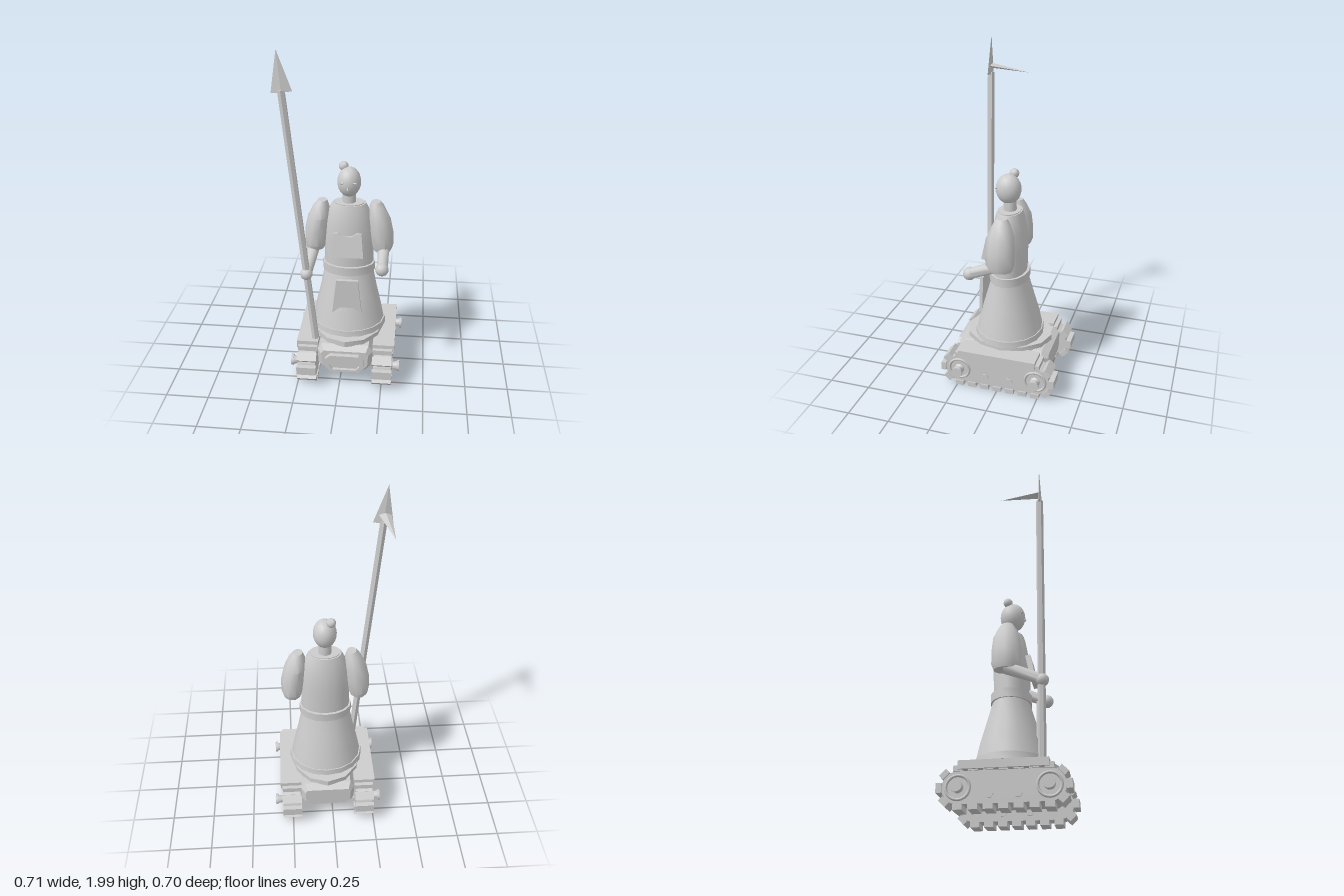
import * as THREE from 'three';
import { toCreasedNormals } from 'three/addons/utils/BufferGeometryUtils.js';

const CX = 0.03; // centre line of body and chassis

export function createModel() {
  const model = new THREE.Group();
  const grey = new THREE.MeshStandardMaterial({ color: 0xcccccc });
  grey.name = 'light grey';

  function add(name, geometry, x = 0, y = 0, z = 0, parent = model, crease = 0.6) {
    const mesh = new THREE.Mesh(toCreasedNormals(geometry, crease), grey);
    mesh.name = name;
    mesh.position.set(x, y, z);
    parent.add(mesh);
    return mesh;
  }

  // Closed solid from horizontal ellipses [x, y, z, rx, rz], listed bottom to top
  function loft(rings, n = 16) {
    const pos = [], idx = [];
    rings.forEach(([x, y, z, rx, rz]) => {
      for (let i = 0; i < n; i++) {
        const a = (i / n) * Math.PI * 2;
        pos.push(x + rx * Math.cos(a), y, z + rz * Math.sin(a));
      }
    });
    const last = rings.length - 1;
    const low = pos.length / 3, high = low + 1;
    pos.push(...rings[0].slice(0, 3), ...rings[last].slice(0, 3));
    for (let i = 0; i < n; i++) {
      const j = (i + 1) % n;
      for (let k = 0; k < last; k++) {
        const a = k * n + i, b = k * n + j;
        idx.push(a, b + n, b, a, a + n, b + n);
      }
      idx.push(low, i, j, high, last * n + j, last * n + i);
    }
    const g = new THREE.BufferGeometry();
    g.setAttribute('position', new THREE.Float32BufferAttribute(pos, 3));
    g.setIndex(idx);
    g.computeVertexNormals();
    return g;
  }

  // Flat plate from an outline in x and y
  const outline = (pts) => new THREE.Shape(pts.map(([x, y]) => new THREE.Vector2(x, y)));
  const plate = (shape, depth) => new THREE.ExtrudeGeometry(shape, { depth, bevelEnabled: false });

  // Round bar between two points
  function bar(name, from, to, r0, r1, sides) {
    const a = new THREE.Vector3(...from), b = new THREE.Vector3(...to);
    const dir = b.clone().sub(a);
    const mid = a.clone().add(b).multiplyScalar(0.5);
    const mesh = add(name, new THREE.CylinderGeometry(r1, r0, dir.length(), sides), mid.x, mid.y, mid.z,
      model, sides < 8 ? 0.1 : 0.9);
    mesh.quaternion.setFromUnitVectors(new THREE.Vector3(0, 1, 0), dir.normalize());
    return mesh;
  }

  // Hull with chamfered ends
  const hull = outline([[-0.12, 0.09], [0.12, 0.09], [0.16, 0.13], [0.165, 0.22],
    [0.14, 0.26], [-0.14, 0.26], [-0.165, 0.22], [-0.16, 0.13]]);
  add('hull', new THREE.ExtrudeGeometry(hull, { depth: 0.48, bevelThickness: 0.04, bevelSize: 0.025,
    bevelOffset: -0.025, bevelSegments: 1 }), CX, 0, -0.24, model, 0.3);

  // Framed plate on the nose
  const frame = outline([[-0.085, 0.11], [0.085, 0.11], [0.113, 0.145], [0.113, 0.195],
    [0.085, 0.22], [-0.085, 0.22], [-0.113, 0.195], [-0.113, 0.145]]);
  frame.holes.push(outline([[-0.07, 0.125], [-0.09, 0.15], [-0.09, 0.19], [-0.06, 0.205],
    [0, 0.185], [0.06, 0.205], [0.09, 0.19], [0.09, 0.15], [0.07, 0.125]]));
  add('noseFrame', plate(frame, 0.03), CX, 0, 0.278);
  add('nosePanel', new THREE.BoxGeometry(0.2, 0.09, 0.012), CX, 0.165, 0.284);

  // Tracks
  const R = 0.085, HALF = 0.235, AXLE = 0.127;
  const stadium = new THREE.Shape();
  stadium.absarc(HALF, 0, R, -Math.PI / 2, Math.PI / 2);
  stadium.absarc(-HALF, 0, R, Math.PI / 2, Math.PI * 1.5);
  for (const side of [-1, 1]) {
    const track = new THREE.Group();
    track.name = side > 0 ? 'leftTrack' : 'rightTrack';
    track.position.set(CX + side * 0.222, AXLE, 0);
    model.add(track);
    const core = new THREE.ExtrudeGeometry(stadium, { depth: 0.1, bevelEnabled: false, curveSegments: 10 });
    core.translate(0, 0, -0.05).rotateY(Math.PI / 2);
    add('trackCore', core, 0, 0, 0, track);

    // Tread pads spaced round the track
    const ro = R + 0.014, straight = 2 * HALF, arc = Math.PI * ro, count = 20;
    for (let i = 0; i < count; i++) {
      let s = HALF + (i / count) * 2 * (straight + arc);
      s %= 2 * (straight + arc);
      const back = s >= straight + arc;
      if (back) s -= straight + arc;
      const t = Math.max(0, s - straight) / ro;
      let z = Math.min(s, straight) - HALF + ro * Math.sin(t), y = -ro * Math.cos(t);
      if (back) { z = -z; y = -y; }
      const pad = add('treadPad', new THREE.BoxGeometry(0.115, 0.03, 0.05), 0, y, z, track);
      pad.rotation.x = -t + (back ? Math.PI : 0);
    }

    // End wheels with flanged hubs, and small road wheels
    for (const end of [-1, 1]) {
      const z = end * HALF;
      add('wheelRim', new THREE.TorusGeometry(0.062, 0.008, 6, 20).rotateY(Math.PI / 2), side * 0.05, 0, z, track, 1.2);
      const hub = new THREE.LatheGeometry([[0, 0], [0.03, 0], [0.021, 0.012], [0.026, 0.038],
        [0.033, 0.038], [0.033, 0.052], [0, 0.052]].map(([x, y]) => new THREE.Vector2(x, y)), 14);
      add('wheelHub', hub.rotateZ(-side * Math.PI / 2), side * 0.05, 0, z, track);
      add('roadWheel', new THREE.CylinderGeometry(0.025, 0.025, 0.112, 6).rotateZ(Math.PI / 2),
        0, -0.035, end * 0.075, track);
    }
    add('fender', new THREE.BoxGeometry(0.128, 0.045, 0.47), CX + side * 0.227, 0.241, 0);
  }

  // Turntable, skirt, sash and torso
  add('turntable', loft([[CX, 0.255, 0, 0.215, 0.262], [CX, 0.29, 0, 0.215, 0.262]], 12));
  add('skirtHem', loft([[CX, 0.285, 0, 0.226, 0.208], [CX, 0.325, 0, 0.222, 0.203]]));
  add('skirt', loft([[CX, 0.32, 0, 0.215, 0.198], [CX, 0.42, 0, 0.196, 0.175],
    [CX, 0.54, 0, 0.168, 0.14], [CX, 0.66, 0, 0.145, 0.105]]));
  add('sash', loft([[CX, 0.653, 0, 0.156, 0.117], [CX, 0.705, 0, 0.156, 0.117]]));
  add('torso', loft([[CX, 0.70, 0, 0.145, 0.1], [CX, 0.86, 0, 0.143, 0.104],
    [CX, 0.97, 0, 0.134, 0.096], [CX, 1.05, 0, 0.114, 0.081], [CX, 1.08, 0, 0.097, 0.072]]));
  add('collar', loft([[CX, 1.04, 0, 0.088, 0.064], [CX, 1.085, 0, 0.088, 0.064]]));

  // Apron and chest plate, both with a notched edge
  add('apron', plate(outline([[-0.085, 0.43], [-0.04, 0.47], [0.04, 0.47], [0.09, 0.43],
    [0.066, 0.65], [-0.06, 0.65]]), 0.02), CX, 0, 0.148);
  const chest = add('chestPlate', plate(outline([[-0.095, 0], [0.095, 0], [0.082, 0.14],
    [0.055, 0.145], [0.025, 0.125], [-0.025, 0.125], [-0.055, 0.145], [-0.082, 0.14]]), 0.03), CX, 0.785, 0.118);
  chest.rotation.x = -0.2;

  // Neck, head, bun and face
  add('neck', new THREE.CylinderGeometry(0.038, 0.04, 0.12, 14), CX, 1.09, 0);
  add('head', new THREE.SphereGeometry(1, 20, 14).scale(0.068, 0.088, 0.074), CX, 1.21, 0.008, model, 1.5);
  add('bun', new THREE.SphereGeometry(0.028, 12, 8), -0.004, 1.295, -0.016, model, 1.5);
  for (const s of [-1, 1]) {
    add('eye', new THREE.SphereGeometry(1, 8, 6).scale(0.013, 0.006, 0.007), CX + s * 0.037, 1.222, 0.069, model, 1.5);
  }
  add('nose', new THREE.ConeGeometry(0.009, 0.03, 4), CX, 1.2, 0.08);

  // Sleeves
  for (const s of [-1, 1]) {
    const ring = (x, y, rx, rz) => [CX + s * x, y, 0, rx, rz];
    add(s > 0 ? 'leftSleeve' : 'rightSleeve', loft([ring(0.197, 0.79, 0.055, 0.072), ring(0.197, 0.82, 0.064, 0.084),
      ring(0.19, 0.9, 0.07, 0.085), ring(0.177, 0.99, 0.064, 0.078), ring(0.162, 1.06, 0.045, 0.05),
      ring(0.155, 1.09, 0.027, 0.033)], 10), 0, 0, 0, model, 0.8);
  }

  // Forearms and hands
  bar('leftForearm', [0.235, 0.82, 0], [0.237, 0.75, 0.17], 0.036, 0.032, 10);
  add('leftHand', new THREE.SphereGeometry(0.039, 12, 8), 0.235, 0.745, 0.18, model, 1.5);
  bar('rightForearm', [-0.175, 0.8, 0], [-0.195, 0.715, 0.19], 0.036, 0.03, 10);
  add('rightHand', new THREE.SphereGeometry(0.036, 12, 8), -0.198, 0.706, 0.203, model, 1.5);

  // Spear: shaft, flat head and rear-facing side blade
  bar('spearShaft', [-0.153, 0.265, 0.19], [-0.306, 1.79, 0.218], 0.022, 0.021, 6);
  const point = new THREE.ConeGeometry(0.057, 0.222, 4).scale(1, 1, 0.2);
  const spearHead = add('spearHead', point, -0.314, 1.889, 0.22, model, 0.1);
  spearHead.rotation.z = 0.1;
  const blade = new THREE.ConeGeometry(0.036, 0.225, 4).scale(1, 1, 0.4);
  const sideBlade = add('sideBlade', blade.rotateX(-Math.PI / 2), -0.328, 1.81, 0.108, model, 0.1);
  sideBlade.rotation.set(-0.16, 0.14, 0.1);

  return model;
}
